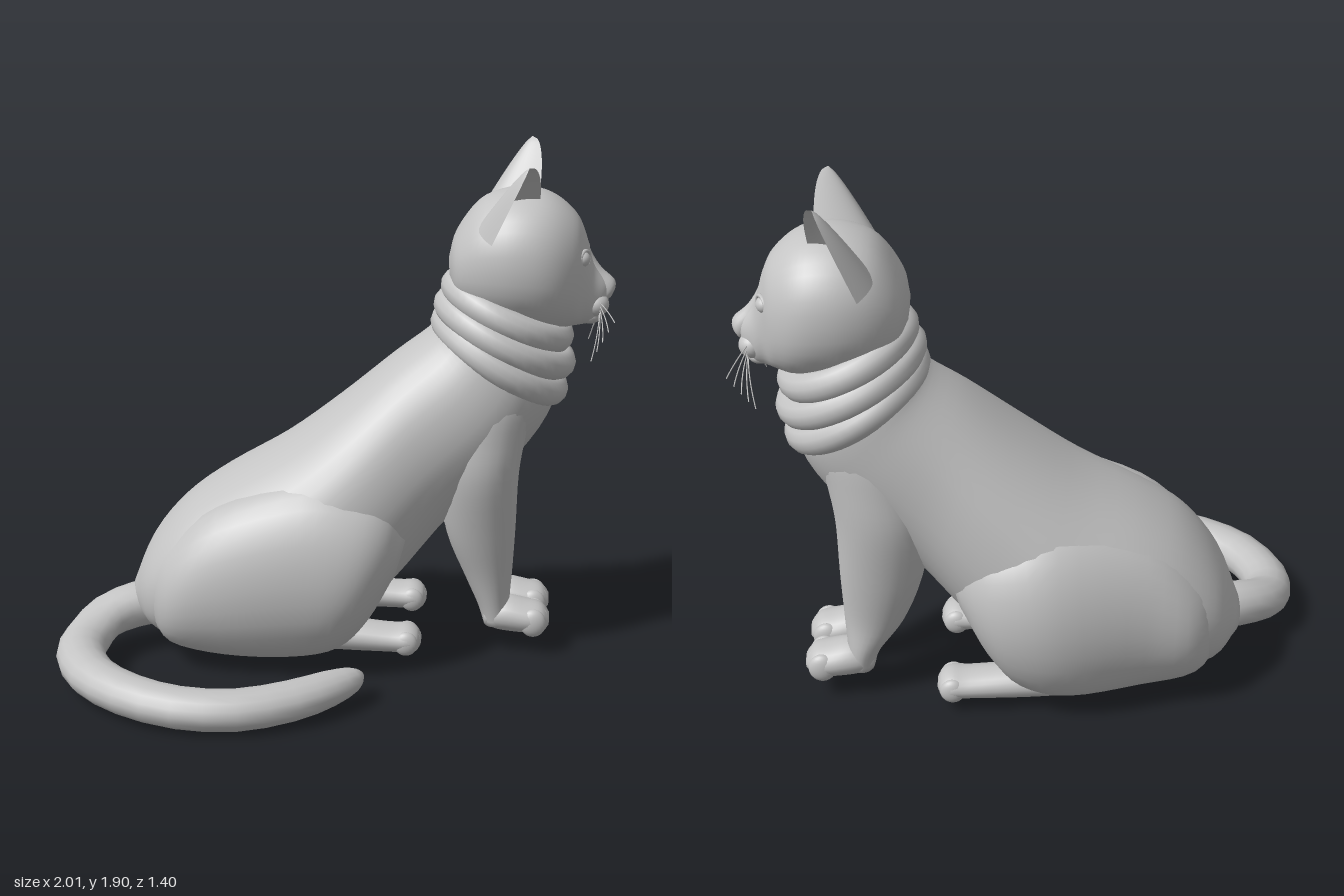
import * as THREE from 'three';

const V = (x, y, z) => new THREE.Vector3(x, y, z);
const fur = new THREE.MeshStandardMaterial({ color: 0xc4c4c4, side: THREE.DoubleSide });
fur.name = 'greyFur';

// Smooth closed skin through elliptical rings { c: centre, a and b: half axes }
function loft(rings, sub = 4, n = 28, power = 1) {
  const curve = (k) => new THREE.CatmullRomCurve3(rings.map((r) => r[k]), false, 'catmullrom', 0.5);
  const C = curve('c'), A = curve('a'), B = curve('b');
  const m = (rings.length - 1) * sub, pos = [], idx = [];
  const soft = (v) => Math.sign(v) * Math.pow(Math.abs(v), power);
  for (let i = 0; i <= m; i++) {
    const c = C.getPoint(i / m), a = A.getPoint(i / m), b = B.getPoint(i / m);
    for (let j = 0; j < n; j++) {
      const t = (j / n) * Math.PI * 2;
      const p = c.clone().addScaledVector(a, soft(Math.cos(t))).addScaledVector(b, soft(Math.sin(t)));
      pos.push(p.x, p.y, p.z);
    }
  }
  pos.push(...rings[0].c.toArray(), ...rings[rings.length - 1].c.toArray());
  const s = (m + 1) * n;
  for (let j = 0; j < n; j++) {
    const k = (j + 1) % n;
    for (let i = 0; i < m; i++) {
      const p = i * n + j, q = i * n + k;
      idx.push(p, q, p + n, q, q + n, p + n);
    }
    idx.push(s, k, j, s + 1, m * n + j, m * n + k);
  }
  // Turn the faces outward by the sign of the enclosed volume
  let vol = 0;
  const at = (i) => V(pos[3 * i], pos[3 * i + 1], pos[3 * i + 2]);
  for (let i = 0; i < idx.length; i += 3) vol += at(idx[i]).dot(at(idx[i + 1]).cross(at(idx[i + 2])));
  if (vol < 0) idx.reverse();
  const g = new THREE.BufferGeometry();
  g.setAttribute('position', new THREE.Float32BufferAttribute(pos, 3));
  g.setIndex(idx);
  g.computeVertexNormals();
  return g;
}

// Ring spanning two points of the side profile, with centre z and half width
const span = ([x1, y1, x2, y2, z, w]) => ({
  c: V((x1 + x2) / 2, (y1 + y2) / 2, z),
  a: V((x1 - x2) / 2, (y1 - y2) / 2, 0),
  b: V(0, 0, w),
});

export function createModel() {
  const cat = new THREE.Group();
  cat.name = 'sittingCat';
  const add = (name, geo) => {
    const mesh = new THREE.Mesh(geo, fur);
    mesh.name = name;
    cat.add(mesh);
    return mesh;
  };
  const ball = (name, x, y, z, rx, ry, rz) => {
    const mesh = add(name, new THREE.SphereGeometry(1, 24, 16));
    mesh.position.set(x, y, z);
    mesh.scale.set(rx, ry, rz);
    return mesh;
  };
  const headZ = -0.28;

  // Torso from rump to neck
  add('torso', loft([
    [-0.775, 0.24, -0.75, 0.15, -0.2, 0.11],
    [-0.7, 0.42, -0.66, 0.07, -0.195, 0.27],
    [-0.58, 0.57, -0.48, 0.04, -0.19, 0.365],
    [-0.43, 0.68, -0.2, 0.05, -0.21, 0.415],
    [-0.2, 0.815, 0.05, 0.13, -0.225, 0.42],
    [0, 0.965, 0.22, 0.29, -0.235, 0.38],
    [0.2, 1.13, 0.42, 0.53, -0.255, 0.315],
    [0.32, 1.22, 0.66, 0.76, -0.275, 0.283],
    [0.36, 1.27, 0.79, 0.97, -0.285, 0.265],
    [0.42, 1.38, 0.8, 1.18, -0.285, 0.235],
    [0.48, 1.46, 0.78, 1.3, headZ, 0.2],
  ].map(span), 4, 36, 0.92));
  ball('chest', 0.535, 0.85, -0.283, 0.135, 0.3, 0.2);

  for (const [side, s] of [['left', 1], ['right', -1]]) {
    // Haunch: profile points, body centre, sideways offset, half width
    add(side + 'Haunch', loft([
      [-0.71, 0.33, -0.69, 0.15, -0.19, 0.12, 0.08],
      [-0.6, 0.47, -0.6, 0.08, -0.187, 0.2, 0.16],
      [-0.42, 0.62, -0.4, 0.05, -0.19, 0.235, 0.185],
      [-0.1, 0.73, -0.15, 0.05, -0.225, 0.27, 0.2],
      [0.1, 0.7, 0.02, 0.09, -0.225, 0.265, 0.195],
      [0.21, 0.63, 0.13, 0.2, -0.22, 0.25, 0.15],
      [0.265, 0.52, 0.22, 0.36, -0.22, 0.23, 0.07],
    ].map(([x1, y1, x2, y2, z, o, w]) => span([x1, y1, x2, y2, z + s * o, w]))));

    // Hind foot with toes
    const hz = -0.28 + s * 0.22;
    add(side + 'HindFoot', loft([
      [-0.2, 0.15, -0.2, 0.05, hz, 0.06],
      [0, 0.16, 0, 0.04, hz, 0.075],
      [0.2, 0.142, 0.2, 0.038, hz, 0.078],
      [0.27, 0.142, 0.27, 0.038, hz, 0.082],
      [0.305, 0.125, 0.305, 0.045, hz, 0.065],
      [0.318, 0.1, 0.318, 0.07, hz, 0.03],
    ].map(span), 4, 24));
    for (let i = 0; i < 4; i++) {
      const o = (i - 1.5) * 0.037;
      ball(side + 'HindToe', 0.282 - Math.abs(o) * 0.3, 0.085, hz + o, 0.045, 0.046, 0.026);
    }

    // Front leg, from shoulder down to ankle; the right one sits slightly further back
    const lag = s < 0 ? 0.035 : 0;
    add(side + 'FrontLeg', loft([
      [0.71, 1.12, 0.45, 1.15, -0.28 + s * 0.13, 0.09],
      [0.72, 1.0, 0.37, 1.02, -0.28 + s * 0.14, 0.122],
      [0.69, 0.87, 0.355, 0.87, -0.28 + s * 0.145, 0.132],
      [0.667, 0.72, 0.37 - lag, 0.7, -0.28 + s * 0.145, 0.135],
      [0.66, 0.5, 0.405 - lag, 0.48, -0.29 + s * 0.13, 0.108],
      [0.652, 0.32, 0.475 - lag, 0.3, -0.3 + s * 0.11, 0.087],
      [0.645, 0.2, 0.525, 0.18, -0.31 + s * 0.1, 0.08],
      [0.65, 0.11, 0.55, 0.1, -0.31 + s * 0.1, 0.065],
    ].map(span)));

    // Front paw with toes
    const pz = -0.31 + s * 0.1;
    add(side + 'FrontPaw', loft([
      [0.545, 0.17, 0.555, 0.1, pz, 0.05],
      [0.62, 0.21, 0.6, 0.08, pz, 0.078],
      [0.71, 0.195, 0.7, 0.072, pz, 0.088],
      [0.765, 0.18, 0.76, 0.075, pz, 0.078],
      [0.795, 0.145, 0.793, 0.1, pz, 0.04],
    ].map(span), 4, 24));
    for (let i = 0; i < 4; i++) {
      const o = (i - 1.5) * 0.04;
      ball(side + 'FrontToe', 0.752 - Math.abs(o) * 0.3, 0.125, pz + o, 0.05, 0.054, 0.028);
    }

    // Ear: a curved shell that narrows to a rounded tip
    const E = (x, y, o) => V(x, y, headZ + s * o);
    const foot = new THREE.QuadraticBezierCurve3(E(0.55, 1.59, 0.262), E(0.4, 1.66, 0.1), E(0.715, 1.7, 0.08));
    const middle = foot.getPoint(0.5).lerp(foot.getPoint(0).lerp(foot.getPoint(1), 0.5), 0.5);
    const tip = s > 0 ? E(0.675, 1.865, 0.258) : E(0.685, 1.9, 0.225);
    const ear = new THREE.PlaneGeometry(1, 1, 16, 16);
    const p = ear.attributes.position;
    for (let i = 0; i < p.count; i++) {
      const h = p.getY(i) + 0.5;
      const reach = foot.getPoint(p.getX(i) + 0.5).sub(middle);
      const q = middle.clone().lerp(tip, h).addScaledVector(reach, Math.pow(1 - h, 0.62));
      p.setXYZ(i, q.x, q.y, q.z);
    }
    ear.computeVertexNormals();
    add(side + 'Ear', ear);

    // Eye with lid rim
    ball(side + 'Eye', 0.868, 1.515, headZ + s * 0.1, 0.032, 0.03, 0.035);
    const lid = add(side + 'Eyelid', new THREE.TorusGeometry(0.035, 0.008, 8, 24));
    lid.position.set(0.88, 1.515, headZ + s * 0.102);
    lid.rotation.set(0, Math.PI / 2 - s * 0.5, 0);
    lid.scale.y = 0.85;

    // Whisker pad and whiskers
    ball(side + 'WhiskerPad', 0.928, 1.335, headZ + s * 0.034, 0.048, 0.045, 0.05);
    for (let i = 0; i < 5; i++) {
      const z = headZ + s * 0.07, reach = 0.21 - i * 0.03, y = 1.35 - i * 0.012;
      const path = new THREE.QuadraticBezierCurve3(
        V(0.94, y, z),
        V(0.97 - i * 0.008, y - 0.01 - i * 0.012, z + s * reach * 0.5),
        V(0.985 - i * 0.018, y - 0.02 - i * 0.032, z + s * reach));
      add(side + 'Whisker', new THREE.TubeGeometry(path, 8, 0.0022, 5));
    }
  }

  // Head, swept from the back of the skull to the muzzle
  add('head', loft([
    [0.395, 1.5, 0.4, 1.42, 0.06],
    [0.42, 1.59, 0.43, 1.34, 0.16],
    [0.5, 1.7, 0.5, 1.28, 0.225],
    [0.6, 1.745, 0.6, 1.25, 0.26],
    [0.7, 1.748, 0.7, 1.24, 0.262],
    [0.78, 1.72, 0.78, 1.24, 0.235],
    [0.85, 1.66, 0.84, 1.25, 0.18],
    [0.885, 1.59, 0.88, 1.255, 0.12],
    [0.915, 1.49, 0.92, 1.265, 0.085],
    [0.955, 1.435, 0.95, 1.3, 0.055],
    [0.975, 1.41, 0.965, 1.35, 0.03],
  ].map(([x1, y1, x2, y2, w]) => span([x1, y1, x2, y2, headZ, w])), 4, 36, 0.91));

  // Bridge widening from the brow to the nose tip
  add('noseBridge', loft([
    [0.875, 1.6, 0.84, 1.57, headZ, 0.03],
    [0.908, 1.52, 0.86, 1.48, headZ, 0.036],
    [0.945, 1.465, 0.9, 1.4, headZ, 0.036],
    [0.99, 1.425, 0.94, 1.36, headZ, 0.04],
    [0.998, 1.395, 0.955, 1.345, headZ, 0.034],
    [0.985, 1.36, 0.955, 1.335, headZ, 0.014],
  ].map(span), 4, 20));
  ball('chin', 0.908, 1.29, headZ, 0.045, 0.034, 0.06);

  // Three stacked neck bands: back point, front point, half width
  for (const [x1, y1, x2, y2, w] of [
    [0.385, 1.255, 0.785, 1.01, 0.24],
    [0.395, 1.32, 0.81, 1.11, 0.235],
    [0.42, 1.39, 0.8, 1.21, 0.22],
  ]) {
    const pts = [];
    for (let i = 0; i < 24; i++) {
      const t = (i / 24) * Math.PI * 2, k = (1 + Math.cos(t)) / 2;
      pts.push(V(x1 + (x2 - x1) * k, y1 + (y2 - y1) * k, -0.285 + w * Math.sin(t)));
    }
    add('neckBand', new THREE.TubeGeometry(new THREE.CatmullRomCurve3(pts, true), 48, 0.055, 12, true));
  }

  // Tail curling around the left side: x, y, z, half width, half height
  const tail = [
    [-0.66, 0.17, -0.15, 0.09, 0.08], [-0.76, 0.165, -0.11, 0.09, 0.085],
    [-0.86, 0.14, -0.04, 0.09, 0.08], [-0.91, 0.1, 0.07, 0.09, 0.075],
    [-0.91, 0.09, 0.21, 0.09, 0.072], [-0.83, 0.085, 0.385, 0.09, 0.072],
    [-0.68, 0.08, 0.52, 0.09, 0.072], [-0.49, 0.075, 0.6, 0.09, 0.072],
    [-0.29, 0.073, 0.6, 0.088, 0.072], [-0.11, 0.078, 0.52, 0.085, 0.07],
    [0.01, 0.083, 0.42, 0.075, 0.062], [0.09, 0.085, 0.335, 0.05, 0.045],
    [0.118, 0.085, 0.295, 0.02, 0.02],
  ];
  add('tail', loft(tail.map(([x, y, z, w, h], i) => {
    const p = tail[Math.max(i - 1, 0)], q = tail[Math.min(i + 1, tail.length - 1)];
    const across = V(p[2] - q[2], 0, q[0] - p[0]).setLength(w);
    return { c: V(x, y, z), a: across, b: V(0, h, 0) };
  }), 2, 16));

  return cat;
}
